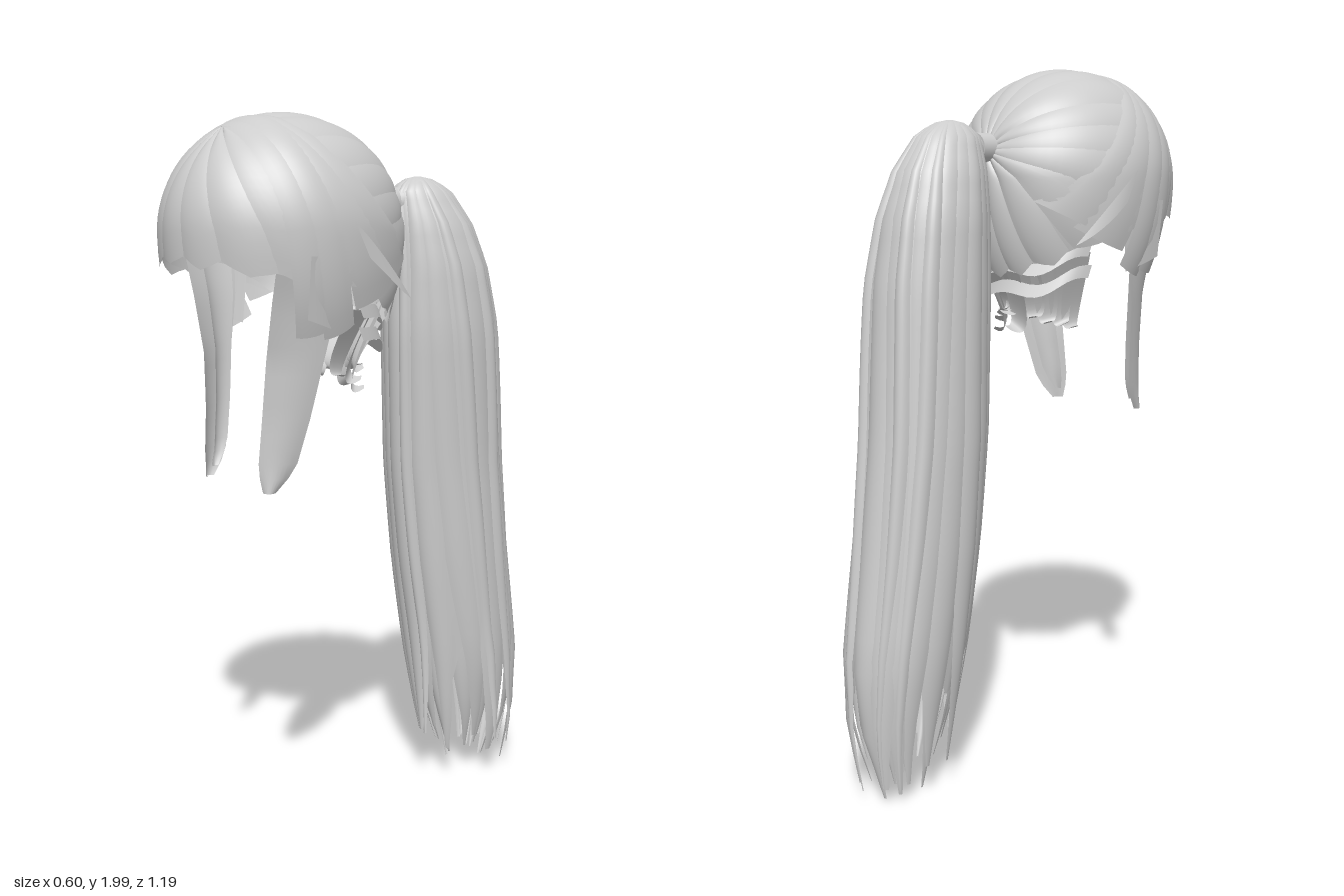
import * as THREE from 'three';

const V = (x, y, z) => new THREE.Vector3(x, y, z);
const { lerp, clamp } = THREE.MathUtils;

// Smooth open surface from a rule f(u, v): u runs across, v runs along
function patch(f, nu, nv) {
  const pos = [], idx = [];
  for (let j = 0; j <= nv; j++)
    for (let i = 0; i <= nu; i++) pos.push(...f(i / nu, j / nv).toArray());
  for (let j = 0; j < nv; j++)
    for (let i = 0; i < nu; i++) {
      const a = j * (nu + 1) + i, b = a + nu + 1;
      idx.push(a, b, a + 1, a + 1, b, b + 1);
    }
  const g = new THREE.BufferGeometry();
  g.setAttribute('position', new THREE.Float32BufferAttribute(pos, 3));
  g.setIndex(idx);
  g.computeVertexNormals();
  return g;
}

// Interpolated row of a table whose first column falls
function sample(rows, y) {
  let i = 0;
  while (i < rows.length - 2 && y < rows[i + 1][0]) i++;
  const a = rows[i], b = rows[i + 1];
  const t = clamp((a[0] - y) / (a[0] - b[0]), 0, 1);
  return a.map((n, k) => lerp(n, b[k], t));
}

// Unit direction -> point on the head ellipsoid, lifted by off
const onHead = (d, off) => V(
  d.x * 0.29 * (1 + off),
  1.68 + d.y * (d.y > 0 ? 0.31 : 0.5) * (1 + off),
  0.25 + d.z * 0.34 * (1 + off));

// Direction at angle a around a pole, s radians away from it
const around = (pole, e2, a, s) => pole.clone().multiplyScalar(Math.cos(s))
  .addScaledVector(V(1, 0, 0), Math.cos(a) * Math.sin(s))
  .addScaledVector(e2, Math.sin(a) * Math.sin(s));

// How far a strand runs before it meets the hairline
function reach(pole, e2, a, max) {
  let s = 0.1;
  while (s < max) {
    const d = around(pole, e2, a, s);
    const rim = d.z > 0.3 ? lerp(-0.24, -0.12, (d.z - 0.3) / 0.7)
      : lerp(-0.5, -0.26, clamp((d.z + 0.85) / 0.65, 0, 1));
    if (d.y < rim) break;
    s += 0.005;
  }
  return s;
}

// Ponytail sections: y, centre x, front z, back z, half width
const TAIL = [
  [1.835, 0, -0.2, -0.215, 0.003], [1.825, 0, -0.155, -0.265, 0.04],
  [1.79, 0, -0.118, -0.32, 0.075], [1.7, 0, -0.11, -0.385, 0.115],
  [1.58, 0, -0.11, -0.43, 0.14], [1.4, 0, -0.11, -0.465, 0.15],
  [1, -0.012, -0.13, -0.505, 0.152], [0.7, -0.012, -0.16, -0.545, 0.155],
  [0.4, -0.01, -0.2, -0.59, 0.152], [0.2, -0.01, -0.23, -0.59, 0.13],
  [0, -0.02, -0.275, -0.55, 0.095],
];
function tailPoint(a, y, k) {
  const [, xc, zf, zb, rx] = sample(TAIL, y);
  return V(xc + Math.sin(a) * rx * k, y, (zf + zb) / 2 + Math.cos(a) * (zf - zb) / 2 * k);
}

export function createModel() {
  const model = new THREE.Group();
  model.name = 'ponytailHair';
  const hair = new THREE.MeshStandardMaterial({ color: 0xcccccc, side: THREE.DoubleSide });
  hair.name = 'pale grey hair';
  let seed = 7;
  const rnd = () => (seed = (seed * 16807) % 2147483647) / 2147483647;
  const group = (name) => {
    const g = new THREE.Group();
    g.name = name;
    model.add(g);
    return g;
  };
  const add = (parent, name, geo) => {
    const m = new THREE.Mesh(geo, hair);
    m.name = name;
    parent.add(m);
    return m;
  };

  // Swept-back cap: base shell and broad strands gathered at the tie
  const cap = group('sweptBackCap');
  const tieDir = V(0, 0.25, -0.968), tieUp = V(0, 0.968, 0.25);
  add(cap, 'baseShell', patch((u, v) => {
    const a = u * Math.PI * 2;
    return onHead(around(tieDir, tieUp, a, lerp(0.08, reach(tieDir, tieUp, a, 1.85), v)), -0.02);
  }, 72, 24));
  const N = 18;
  for (let i = 0; i < N; i++) {
    const a0 = (i + 0.4 * rnd()) / N * Math.PI * 2, half = Math.PI / N * (1.2 + 0.5 * rnd());
    const lift = -0.01 + 0.014 * rnd();
    add(cap, 'capStrand', patch((u, v) => {
      const a = a0 + (2 * u - 1) * half * (1 - 0.25 * v * v) + 0.07 * Math.sin(v * 3 + i);
      const end = reach(tieDir, tieUp, a, 1.85) + 0.06 * (1 - Math.abs(2 * u - 1)) - 0.02;
      return onHead(around(tieDir, tieUp, a, lerp(0.08, end, v)),
        lift + 0.018 * 4 * u * (1 - u) - 0.02 * (1 - v) ** 4);
    }, 8, 18));
  }

  // Fringe fanning out from the parting point down over the forehead
  const fringe = group('fringe');
  const part = V(0, 0.85, 0.527), partFront = V(0, -0.527, 0.85);
  add(fringe, 'fringeShell', patch((u, v) => {
    const a = lerp(-0.25, Math.PI + 0.25, u);
    return onHead(around(part, partFront, a, lerp(0.01, reach(part, partFront, a, 2), v)), 0.005);
  }, 40, 18));
  for (let i = 0; i < 9; i++) {
    const a0 = lerp(-0.05, Math.PI + 0.05, i / 8), half = 0.24 + 0.06 * rnd();
    const tip = 0.03 + 0.06 * rnd();
    add(fringe, 'fringeStrand', patch((u, v) => {
      const a = a0 + (2 * u - 1) * half * (1 - 0.2 * v ** 3);
      const end = reach(part, partFront, a, 2) - 0.01 + tip * (1 - Math.abs(2 * u - 1));
      return onHead(around(part, partFront, a, lerp(0.01, end, v)), 0.008 + 0.018 * 4 * u * (1 - u));
    }, 8, 16));
  }

  // Overlapping bands from the crown to the temples, with face-framing locks
  const LOCK = [ // y, outer x, inner x, back z, front z
    [1.62, 0.282, 0.245, 0.24, 0.42], [1.5, 0.262, 0.205, 0.25, 0.415],
    [1.35, 0.24, 0.165, 0.28, 0.41], [1.2, 0.213, 0.15, 0.305, 0.415],
    [1.06, 0.185, 0.143, 0.335, 0.425], [1, 0.165, 0.15, 0.385, 0.415],
  ];
  for (const s of [1, -1]) {
    const side = group(s > 0 ? 'leftSide' : 'rightSide');
    for (const [z0, z1, e0, e1, end, lift] of [
      [0.27, 0.48, -0.15, 0.1, 2.06, 0.028], [0.38, 0.6, 0.06, 0.32, 2.08, 0.024],
      [0.28, 0.42, -0.6, -0.15, 1.9, 0.02], [0.22, 0.36, -0.85, -0.45, 1.8, 0.015],
    ])
      add(side, 'templeBand', patch((u, v) => {
        const z = lerp(lerp(z0, z1, u), lerp(e0, e1, u), v * v);
        const t = v * (end + 0.08 * u), r = Math.sqrt(1 - z * z);
        return onHead(V(s * Math.sin(t) * r, Math.cos(t) * r, z),
          lift + 0.014 * Math.sin(t) - 0.014 * (2 * u - 1) ** 2);
      }, 6, 22));
    // Pointed strand sweeping back past the ear
    add(side, 'sweptTip', patch((u, v) => {
      const w = (u - 0.5) * 0.09 * (1 - v * v);
      return V(s * (0.302 - 0.04 * v * v), lerp(1.66, 1.5, v) + w, lerp(0.2, 0.01, v) + w * 0.5);
    }, 3, 10));
    // Long lock slanting in toward the face, with a thinner one behind it
    for (const [k, dx, drop] of [[1, 0, 0], [0.6, -0.012, 0.03]])
      add(side, 'faceLock', patch((u, v) => {
        const [, xo, xi, zb, zf] = sample(LOCK, lerp(1.62, 1, v));
        const across = 0.5 + (u - 0.5) * k;
        const bow = 0.012 * 4 * u * (1 - u);
        return V(s * (lerp(xo, xi, across) + dx + bow), lerp(1.62, 1, v) + drop * v,
          lerp(zb, zf, across) + bow * 0.6 + dx);
      }, 8, 16));
    // Short panel beside the ear
    add(side, 'earPanel', patch((u, v) => V(s * (0.29 - 0.018 * v - 0.02 * (1 - u) ** 2),
      lerp(1.62, 1.42 + 0.04 * u, v), lerp(lerp(0.2, 0.232, v), 0.35, u)), 5, 8));
  }

  // Short loose curls around the nape
  const nape = group('napeCurls');
  for (let i = 0; i < 11; i++) {
    const a = lerp(-1.25, 1.25, i / 10), len = 0.14 + 0.07 * rnd() + 0.02 * Math.cos(a);
    const turn = (rnd() - 0.5) * 1.6;
    add(nape, 'napeCurl', patch((u, v) => {
      const w = (u - 0.5) * 0.075 * (1 - 0.75 * v * v);
      const r = 0.84 - 0.36 * Math.sin(v * 2.2) + 0.1 * v * v;
      const b = a + turn * v * 0.35;
      return V(Math.sin(b) * 0.22 * r + w * Math.cos(b), 1.47 - len * Math.sin(v * 1.8) + w * turn,
        0.2 - Math.cos(b) * 0.3 * r + w * Math.sin(b));
    }, 4, 12));
  }
  // Two loose strands looping across the nape
  for (const y of [1.43, 1.49])
    add(nape, 'napeLoop', patch((u, v) => {
      const a = lerp(-1.45, 1.45, v);
      return V(Math.sin(a) * 0.205, y - 0.06 * Math.cos(a) + 0.035 * (u - 0.5) + 0.012 * Math.sin(v * 17),
        0.15 - Math.cos(a) * 0.18 + 0.015 * u);
    }, 2, 24));

  // Hair tie and the root of the tail behind it
  const tie = add(model, 'hairTie', new THREE.CylinderGeometry(0.042, 0.042, 0.05, 20));
  tie.rotation.x = Math.PI / 2;
  tie.position.set(0, 1.762, -0.093);
  const root = add(model, 'tailRoot', new THREE.CylinderGeometry(0.06, 0.036, 0.08, 20, 1, true));
  root.rotation.x = -Math.PI / 2 + 0.15;
  root.position.set(0, 1.762, -0.15);

  // Ponytail: inner body and long overlapping locks, shorter in front
  const tail = group('ponytail');
  add(tail, 'tailBody', patch((u, v) => {
    const a = u * Math.PI * 2, tip = 0.36 + 0.08 * Math.sin(a * 7);
    return tailPoint(a, lerp(1.83, tip, v ** 1.6), 0.9 + 0.025 * Math.sin(a * 11) - 0.1 * v ** 5);
  }, 66, 30));
  const addLock = (name, a0, half, tip, k, twist, curl, drift = 0, top = 1.835) =>
    add(tail, name, patch((u, v) => {
      const y = lerp(top, tip, v ** 1.6);
      const thin = 1 - 0.85 * Math.max(0, (v - 0.7) / 0.3) ** 2;
      const a = a0 + twist * v * v + 0.06 * Math.sin(v * 5 + a0 * 3) + (2 * u - 1) * half * thin;
      const out = curl * Math.max(0, (v - 0.85) / 0.15) ** 2 + drift * Math.sin(v * Math.PI) ** 2;
      return tailPoint(a, y, k + 0.07 * 4 * u * (1 - u) * thin + out);
    }, 8, 30));
  const M = 18;
  for (let i = 0; i < M; i++) {
    const a = i / M * Math.PI * 2, front = Math.cos(a);
    addLock('tailLock', a, 0.26 + 0.12 * rnd(), 0.06 + 0.06 * front + 0.06 * rnd(),
      0.92 + 0.03 * rnd(), 0.1 + (rnd() - 0.5) * 0.4, (rnd() - 0.6) * 0.45);
  }
  // Inner locks that show between the tips
  for (let i = 0; i < 10; i++)
    addLock('innerLock', i * 0.628 + 0.2, 0.32, 0.01 + 0.1 * rnd(), 0.6 + 0.2 * rnd(), 0.3, -0.2, 0, 1.2);
  // Loose outer strands drifting away from the tail: angle, tip, curl, drift
  for (const [a, tip, curl, drift] of [[1.4, 0.14, 0.4, 0.08], [1.9, 0.1, 0.25, 0.1],
    [2.9, 0.04, 0.05, 0.1], [-2.7, 0.06, 0.08, 0.06], [-2.3, 0.05, 0.1, 0.08], [0.3, 0.17, 0.3, 0]])
    addLock('looseStrand', a, 0.13, tip, 0.96, 0.15, curl, drift);
  return model;
}
